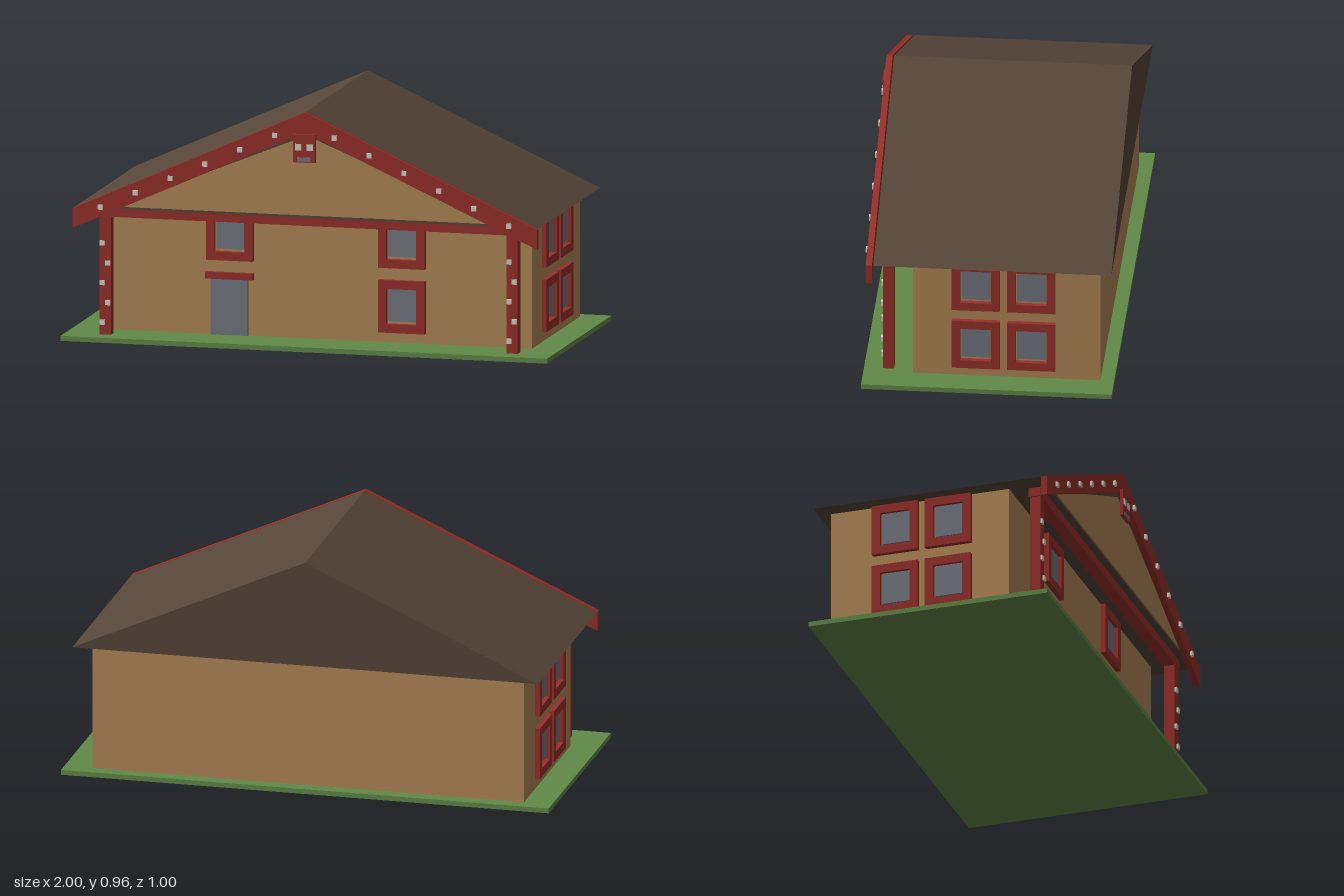
import * as THREE from 'three';

const mat = (name, color, extra = {}) => {
  const m = new THREE.MeshStandardMaterial({ color, ...extra });
  m.name = name;
  return m;
};

export function createModel() {
  const house = new THREE.Group();
  house.name = 'meetingHouse';

  const grass = mat('grass green', 0x628a48);
  const wall = mat('tan wall', 0xb28858);
  const red = mat('carved red', 0x98302a);
  const roofBrown = mat('roof brown', 0x574639);
  const glass = mat('glass grey', 0x747882);
  const stud = mat('pale stud', 0xd6d2c6);

  const add = (parent, name, geometry, material) => {
    const mesh = new THREE.Mesh(geometry, material);
    mesh.name = name;
    parent.add(mesh);
    return mesh;
  };
  // Box given by its min and max on each axis
  const box = (parent, name, material, x0, x1, y0, y1, z0, z1) => {
    const mesh = add(parent, name, new THREE.BoxGeometry(x1 - x0, y1 - y0, z1 - z0), material);
    mesh.position.set((x0 + x1) / 2, (y0 + y1) / 2, (z0 + z1) / 2);
    return mesh;
  };
  // Outline in x, y pushed along z from z0 to z1
  const prism = (parent, name, material, points, z0, z1) => {
    const shape = new THREE.Shape(points.map(([x, y]) => new THREE.Vector2(x, y)));
    const g = new THREE.ExtrudeGeometry(shape, { depth: z1 - z0, bevelEnabled: false });
    g.translate(0, 0, z0);
    return add(parent, name, g, material);
  };

  // Ground slab and walls
  box(house, 'ground', grass, -1, 1, 0, 0.02, -0.5, 0.5);
  box(house, 'walls', wall, -0.885, 0.885, 0.02, 0.536, -0.445, 0.302);

  // Solid gabled roof and the tan gable panel on its front
  prism(house, 'roof', roofBrown, [[-0.955, 0.535], [0.955, 0.535], [0, 0.965]], -0.495, 0.4545);
  prism(house, 'gablePanel', wall, [[-0.785, 0.545], [0.785, 0.545], [0, 0.867]], 0.4545, 0.46);

  // Bargeboards follow the roof slope in one chevron
  prism(house, 'bargeboards', red, [
    [-0.955, 0.455], [0, 0.885], [0.955, 0.455],
    [0.955, 0.535], [0, 0.965], [-0.955, 0.535],
  ], 0.46, 0.485);

  // Porch beam
  box(house, 'porchBeam', red, -0.865, 0.865, 0.497, 0.536, 0.376, 0.428);

  for (const side of [-1, 1]) {
    // Bargeboard studs
    for (let i = 0; i < 6; i++) {
      const x = side * (0.122 + i * 0.1435);
      const y = 0.868 - i * 0.0645;
      box(house, 'bargeboardStud', stud, x - 0.01, x + 0.01, y - 0.01, y + 0.01, 0.484, 0.494);
    }
    // Porch post with staggered studs
    const px = side * 0.836;
    box(house, 'porchPost', red, px - 0.023, px + 0.023, 0.02, 0.5, 0.38, 0.425);
    for (let i = 0; i < 5; i++) {
      const x = px + (i % 2 ? 0.011 : -0.011);
      const y = 0.07 + i * 0.08;
      box(house, 'postStud', stud, x - 0.01, x + 0.01, y - 0.01, y + 0.01, 0.424, 0.433);
    }
  }

  // Carved mask at the apex
  const mask = new THREE.Group();
  mask.name = 'apexMask';
  house.add(mask);
  box(mask, 'maskFace', red, -0.046, 0.046, 0.765, 0.878, 0.484, 0.497);
  for (const s of [-1, 1]) {
    box(mask, 'maskEye', stud, s * 0.024 - 0.013, s * 0.024 + 0.013, 0.814, 0.84, 0.496, 0.5);
  }
  box(mask, 'maskMouth', glass, -0.028, 0.028, 0.77, 0.786, 0.496, 0.5);

  // Window: frame with an opening and a pane set inside, facing +z
  const frameShape = new THREE.Shape();
  frameShape.moveTo(-0.096, -0.106).lineTo(0.096, -0.106).lineTo(0.096, 0.106).lineTo(-0.096, 0.106);
  const hole = new THREE.Path();
  hole.moveTo(-0.062, -0.071).lineTo(-0.062, 0.071).lineTo(0.062, 0.071).lineTo(0.062, -0.071);
  frameShape.holes.push(hole);
  const frameGeometry = new THREE.ExtrudeGeometry(frameShape, { depth: 0.02, bevelEnabled: false });
  const makeWindow = (x, y, z, turn) => {
    const w = new THREE.Group();
    w.name = 'window';
    add(w, 'windowFrame', frameGeometry, red);
    box(w, 'windowPane', glass, -0.057, 0.057, -0.061, 0.071, -0.002, 0.007);
    w.position.set(x, y, z);
    w.rotation.y = turn;
    house.add(w);
  };

  const rows = [0.167, 0.428];
  for (const y of rows) {
    makeWindow(0.353, y, 0.302, 0);
    for (const z of [0.051, -0.171]) {
      makeWindow(0.885, y, z, Math.PI / 2);
      makeWindow(-0.885, y, z, -Math.PI / 2);
    }
  }
  makeWindow(-0.353, rows[1], 0.302, 0);

  // Door and lintel
  box(house, 'door', glass, -0.432, -0.28, 0.02, 0.247, 0.3, 0.313);
  box(house, 'doorLintel', red, -0.454, -0.258, 0.246, 0.273, 0.3, 0.322);

  return house;
}
